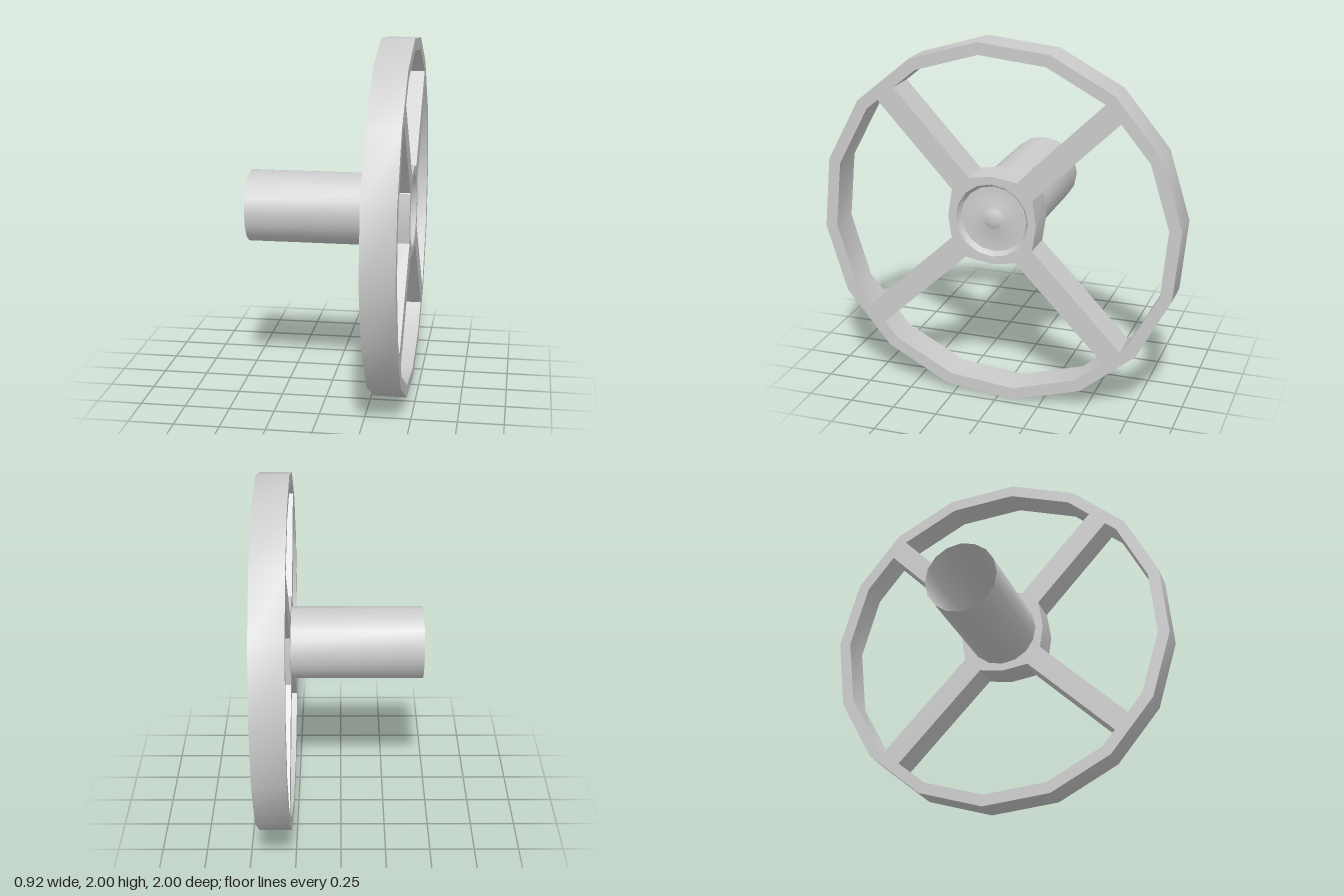
import * as THREE from 'three';
import { toCreasedNormals } from 'three/addons/utils/BufferGeometryUtils.js';

const SIDES = 16;
const BACK = 0.275, FACE = 0.457, DEPTH = FACE - BACK; // wheel thickness along x
const HUB_Y = 1.04, HUB_Z = 0.024;                     // shaft axis, slightly off the rim centre
const SHAFT_R = 0.203;

const solid = new THREE.MeshStandardMaterial({ color: 0xcccccc });
const open = new THREE.MeshStandardMaterial({ color: 0xcccccc, side: THREE.DoubleSide });

function addMesh(parent, name, geometry, material = solid) {
  const mesh = new THREE.Mesh(geometry, material);
  mesh.name = name;
  parent.add(mesh);
  return mesh;
}

const polar = (radius, angle) => new THREE.Vector2(Math.cos(angle) * radius, Math.sin(angle) * radius);

function polygon(radius, phase) {
  return Array.from({ length: SIDES }, (_, i) => polar(radius, phase + (i / SIDES) * Math.PI * 2));
}

// Outline with a hole, extruded along x from BACK to FACE, smooth around its walls
function ring(outer, inner) {
  const shape = new THREE.Shape(outer);
  shape.holes.push(new THREE.Path(inner));
  const geometry = new THREE.ExtrudeGeometry(shape, { depth: DEPTH, bevelEnabled: false });
  geometry.rotateY(Math.PI / 2).translate(BACK, 0, 0);
  return toCreasedNormals(geometry, 0.5);
}

// Profile of [radius, x] pairs turned around the x axis
function turned(profile) {
  const points = profile.map(([r, x]) => new THREE.Vector2(r, x));
  const geometry = new THREE.LatheGeometry(points, SIDES);
  geometry.rotateZ(-Math.PI / 2);
  return toCreasedNormals(geometry, 0.5);
}

export function createModel() {
  const model = new THREE.Group();
  model.name = 'spokedWheelOnShaft';

  // Rim, its corners turned a quarter step
  const phase = Math.PI / 2 + Math.PI / 32;
  const rim = addMesh(model, 'rim', ring(polygon(1.0048, phase), polygon(0.938, phase)));
  rim.position.y = 1;

  const core = new THREE.Group();
  core.name = 'hubAssembly';
  core.position.set(0, HUB_Y, HUB_Z);
  model.add(core);

  // Hub, flaring out to meet the four spokes
  const hubOutline = [];
  for (let quarter = 0; quarter < 4; quarter++) {
    for (const [radius, degrees] of [[0.247, 0], [0.268, 33], [0.268, 57]]) {
      hubOutline.push(polar(radius, THREE.MathUtils.degToRad(degrees + quarter * 90)));
    }
  }
  addMesh(core, 'hub', ring(hubOutline, polygon(SHAFT_R, 0)));

  // Hollow shaft, open at the far end
  addMesh(core, 'shaft', turned([[SHAFT_R, -0.46], [SHAFT_R, FACE]]), open);

  // Recessed cap with a sloping lip and a low central dome
  const floor = 0.425, domeR = 0.063;
  const cap = [[SHAFT_R, FACE], [0.184, floor]];
  for (let i = 0; i <= 5; i++) {
    const t = 1 - i / 5;
    cap.push([domeR * t, floor + 0.016 * (1 - t * t)]);
  }
  addMesh(core, 'shaftCap', turned(cap), open);

  // Four spokes from the hub to points [z, y] on the rim
  const spokeEnds = [[0.623, 1.695], [-0.639, 1.69], [0.706, 0.406], [-0.65, 0.334]];
  for (const [z, y] of spokeEnds) {
    const dz = z - HUB_Z, dy = y - HUB_Y;
    const start = 0.215, end = Math.hypot(dz, dy) + 0.043;
    const geometry = new THREE.BoxGeometry(DEPTH, end - start, 0.121);
    geometry.translate((BACK + FACE) / 2, (start + end) / 2, 0);
    addMesh(core, 'spoke', geometry).rotation.x = Math.atan2(dz, dy);
  }

  return model;
}
